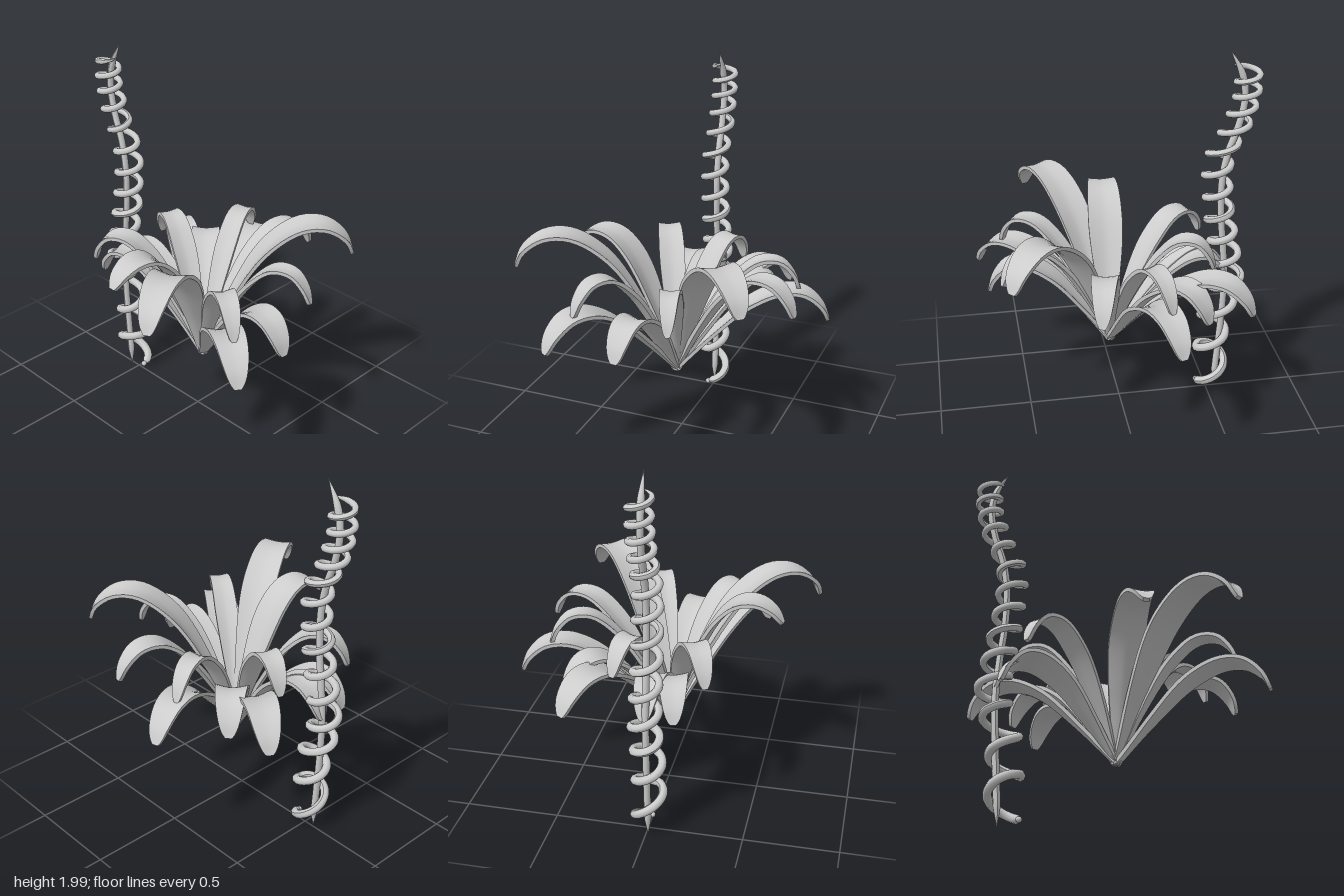
import * as THREE from 'three';

const material = new THREE.MeshStandardMaterial({ color: 0xcccccc });
const BASE = new THREE.Vector3(0.05, 0.382, 0.01);

// Midrib profiles for the tiers: [fraction of reach, height above base]
const TIERS = {
  low: [[0, 0], [0.25, 0.215], [0.5, 0.4], [0.7, 0.48], [0.84, 0.475], [0.95, 0.405], [1, 0.325]],
  mid: [[0, 0], [0.22, 0.275], [0.48, 0.53], [0.68, 0.64], [0.84, 0.64], [0.95, 0.57], [1, 0.49]],
  high: [[0, 0], [0.2, 0.345], [0.45, 0.665], [0.66, 0.79], [0.82, 0.795], [0.95, 0.725], [1, 0.64]],
  front: [[0, 0], [0.2, 0.33], [0.45, 0.63], [0.62, 0.725], [0.78, 0.74], [0.92, 0.7], [1, 0.64]],
};

// Each leaf: tier, tip x, tip z, half width
const LEAVES = [
  ['low', -0.192, -0.755, 0.085], ['low', 0.688, 0.08, 0.083], ['low', 0.722, 0.442, 0.09],
  ['low', -0.59, 0.15, 0.08], ['low', -0.59, 0.0, 0.08], ['low', -0.635, -0.41, 0.093],
  ['low', -0.392, -0.455, 0.085],
  ['mid', -0.168, -0.595, 0.058], ['mid', 0.192, -0.675, 0.072], ['mid', 0.63, -0.178, 0.056],
  ['mid', 0.595, 0.343, 0.062], ['mid', -0.495, 0.288, 0.07], ['mid', -0.475, -0.185, 0.066],
  ['high', 0.605, -0.533, 0.098], ['high', 0.43, 0.75, 0.095], ['front', 0.012, 0.6, 0.093],
];

// Half width along the leaf: narrow foot, broad middle, rounded tip
function leafWidth(s, half) {
  const foot = 0.27 + 0.73 * THREE.MathUtils.smoothstep(s, -0.05, 0.6);
  const tip = Math.max(0, (s - 0.58) / 0.42);
  return half * foot * Math.sqrt(1 - 0.97 * tip ** 2.1);
}

// A thin slab bent along the midrib, with a shallow channel fading to the tip
function makeLeaf([tier, x, z, half]) {
  const dx = x - BASE.x, dz = z - BASE.z, reach = Math.hypot(dx, dz);
  const midrib = new THREE.CatmullRomCurve3(
    TIERS[tier].map(([f, h]) => new THREE.Vector3(0, h, f * reach)));
  const geometry = new THREE.BoxGeometry(2, 0.02, 1, 10, 1, 36);
  const pos = geometry.attributes.position;
  for (let i = 0; i < pos.count; i++) {
    const u = pos.getX(i);
    const s = 1 - THREE.MathUtils.clamp(0.5 - pos.getZ(i), 0, 1) ** 1.3;
    const p = midrib.getPointAt(s), t = midrib.getTangentAt(s);
    const w = leafWidth(s, half);
    const channel = 0.25 - 0.17 * THREE.MathUtils.smoothstep(s, 0.4, 1);
    const lift = pos.getY(i) + channel * w * Math.abs(u) ** 1.5;
    pos.setXYZ(i, u * w, p.y + t.z * lift, p.z - t.y * lift);
  }
  geometry.computeVertexNormals();
  const leaf = new THREE.Mesh(geometry, material);
  leaf.name = 'leaf';
  leaf.position.copy(BASE);
  leaf.rotation.y = Math.atan2(dx, dz);
  return leaf;
}

// Tube whose radius varies along its length
function taperedTube(curve, segments, sides, radiusAt) {
  const geometry = new THREE.TubeGeometry(curve, segments, 1, sides);
  const pos = geometry.attributes.position, v = new THREE.Vector3();
  for (let i = 0; i < pos.count; i++) {
    const s = Math.floor(i / (sides + 1)) / segments;
    const c = curve.getPointAt(s);
    v.fromBufferAttribute(pos, i).sub(c).multiplyScalar(radiusAt(s)).add(c);
    pos.setXYZ(i, v.x, v.y, v.z);
  }
  geometry.computeVertexNormals();
  return geometry;
}

// Linear lookup of x at height y in a list of [x, y]
function xAtHeight(points, y) {
  const i = Math.max(1, points.findIndex((p) => p[1] >= y));
  const [x0, y0] = points[i - 1], [x1, y1] = points[i];
  return THREE.MathUtils.lerp(x0, x1, (y - y0) / (y1 - y0));
}

export function createModel() {
  const model = new THREE.Group();
  model.name = 'plant';

  // Rosette of arching leaves
  const rosette = new THREE.Group();
  rosette.name = 'leafRosette';
  LEAVES.forEach((leaf) => rosette.add(makeLeaf(leaf)));
  model.add(rosette);

  // Wavy upright stem, pointed at both ends
  const stemCurve = new THREE.CatmullRomCurve3([
    [-0.55, 0.01], [-0.555, 0.12], [-0.568, 0.3], [-0.58, 0.5], [-0.585, 0.7], [-0.57, 0.9],
    [-0.55, 1.1], [-0.55, 1.3], [-0.575, 1.45], [-0.625, 1.6], [-0.65, 1.75], [-0.63, 1.87], [-0.563, 2],
  ].map(([x, y]) => new THREE.Vector3(x, y, 0.01)));
  const stem = new THREE.Mesh(taperedTube(stemCurve, 80, 10,
    (s) => 0.019 * Math.min(1, s / 0.05 + 0.05, (1 - s) / 0.07 + 0.03)), material);
  stem.name = 'stem';
  model.add(stem);

  // Tendril coiling around the stem: its own wavy axis, and its height at each turn
  const axis = [[-0.53, 0], [-0.52, 0.2], [-0.53, 0.45], [-0.575, 0.58], [-0.605, 0.7], [-0.575, 0.9],
    [-0.54, 1.1], [-0.518, 1.33], [-0.535, 1.45], [-0.615, 1.6], [-0.66, 1.75], [-0.665, 1.85], [-0.64, 1.95]];
  const heights = [0.05, 0.27, 0.48, 0.65, 0.8, 0.94, 1.07, 1.2, 1.33, 1.45, 1.56, 1.66, 1.75, 1.83, 1.915];
  const turns = heights.length - 1, coilPoints = [];
  for (let i = 0; i <= turns * 12; i++) {
    const k = Math.min(Math.floor(i / 12), turns - 1), f = i / 12 - k;
    const climb = k === 0 ? THREE.MathUtils.smoothstep(f, -0.1, 0.95) : f;
    const y = THREE.MathUtils.lerp(heights[k], heights[k + 1], climb);
    const angle = (i / 12) * Math.PI * 2;
    const r = THREE.MathUtils.lerp(0.076, 0.054, y / 2);
    coilPoints.push(new THREE.Vector3(
      xAtHeight(axis, y) + r * 1.1 * Math.cos(angle), y, 0.01 - r * Math.sin(angle)));
  }
  const coilCurve = new THREE.CatmullRomCurve3(coilPoints);
  coilCurve.arcLengthDivisions = 1500;
  const coil = new THREE.Mesh(taperedTube(coilCurve, 450, 8,
    (s) => (0.024 - 0.008 * s) * Math.min(1, s / 0.006 + 0.3, (1 - s) / 0.015 + 0.1)), material);
  coil.name = 'coiledTendril';
  model.add(coil);

  // Rounded end of the tendril
  const end = new THREE.Mesh(new THREE.SphereGeometry(0.016, 10, 8), material);
  end.name = 'tendrilEnd';
  end.position.copy(coilPoints[0]);
  model.add(end);

  return model;
}
